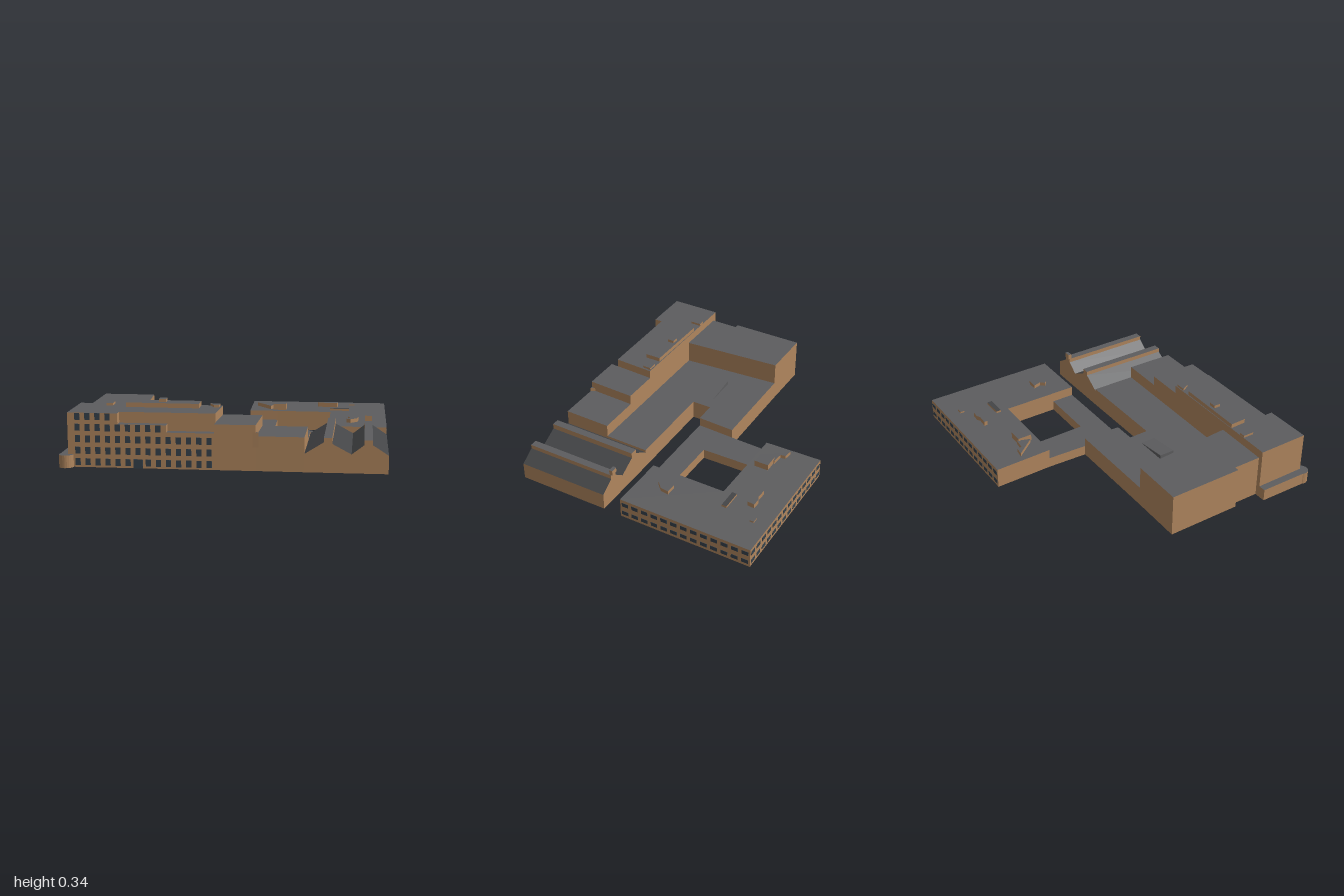
import * as THREE from 'three';

const mat = (color) => new THREE.MeshStandardMaterial({ color, side: THREE.DoubleSide, flatShading: true });
const brick = mat(0xb0865e);
const slate = mat(0x5d5d5f);
const darkSlate = mat(0x444547);
const glass = mat(0x36424c);

// Surface made of quads, each given as four corners
function quads(list) {
  const pos = [];
  for (const [a, b, c, d] of list) pos.push(...a, ...b, ...c, ...a, ...c, ...d);
  const g = new THREE.BufferGeometry();
  g.setAttribute('position', new THREE.Float32BufferAttribute(pos, 3));
  g.computeVertexNormals();
  return g;
}

// Walls and flat roof over a plan. Each point is [x, z, foot of the wall to the next point]
function block(name, height, points, { foot = 0, roof = slate } = {}) {
  const group = new THREE.Group();
  group.name = name;
  const walls = [];
  points.forEach(([x, z, y = foot], i) => {
    const [x2, z2] = points[(i + 1) % points.length];
    if (y < height) walls.push([[x, y, z], [x2, y, z2], [x2, height, z2], [x, height, z]]);
  });
  const wallMesh = new THREE.Mesh(quads(walls), brick);
  wallMesh.name = name + 'Walls';
  const shape = new THREE.Shape(points.map(([x, z]) => new THREE.Vector2(x, -z)));
  const top = new THREE.Mesh(new THREE.ShapeGeometry(shape).rotateX(-Math.PI / 2).translate(0, height, 0), roof);
  top.name = name + 'Roof';
  group.add(wallMesh, top);
  return group;
}

// Row of windows between two plan points: the first `count` of n columns
function windowRow(a, b, n, y, w, h, count = n, skip = -1) {
  const group = new THREE.Group();
  group.name = 'windowRow';
  const angle = -Math.atan2(b[1] - a[1], b[0] - a[0]);
  const geo = new THREE.BoxGeometry(w, h, 0.004);
  for (let i = 0; i < count; i++) {
    if (i === skip) continue;
    const t = (i + 0.5) / n;
    const m = new THREE.Mesh(geo, glass);
    m.name = 'window';
    m.position.set(a[0] + (b[0] - a[0]) * t, y, a[1] + (b[1] - a[1]) * t);
    m.rotation.y = angle;
    group.add(m);
  }
  return group;
}

// Plan rectangle aligned with the building
const TILT = 0.336;
function rect(cx, cz, w, d) {
  const c = Math.cos(TILT), s = Math.sin(TILT);
  return [[-w, -d], [w, -d], [w, d], [-w, d]].map(([u, v]) =>
    [cx + (u * c + v * s) / 2, cz + (-u * s + v * c) / 2]);
}

// Hall with two raised ridges, swept from the back end to the front end
function ridgedHall() {
  const group = new THREE.Group();
  group.name = 'ridgedHall';
  const profile = [[0, 0.1], [0.23, 0.165], [0.23, 0.19], [0.33, 0.19], [0.33, 0.158], [0.56, 0.103],
    [0.71, 0.155], [0.71, 0.18], [0.81, 0.18], [0.81, 0.155], [1, 0.1]];
  const back = ([t, y]) => [0.365 + 0.415 * t, y, 0.01 - 0.143 * t];
  const front = ([t, y]) => [0.54 + 0.422 * t, y, 0.534 - 0.147 * t];
  const slopes = [], ridges = [], walls = [];
  for (let i = 0; i < profile.length - 1; i++) {
    const p = profile[i], q = profile[i + 1];
    const list = p[0] === q[0] ? walls : p[1] === q[1] ? ridges : slopes;
    list.push([front(p), front(q), back(q), back(p)]);
    if (p[0] === q[0]) continue;
    for (const end of [front, back]) walls.push([end([p[0], 0]), end([q[0], 0]), end(q), end(p)]);
  }
  walls.push([front([1, 0]), back([1, 0]), back([1, 0.1]), front([1, 0.1])]);
  for (const [name, list, material] of [['hallSlopes', slopes, darkSlate], ['hallRidges', ridges, slate], ['hallWalls', walls, brick]]) {
    const mesh = new THREE.Mesh(quads(list), material);
    mesh.name = name;
    group.add(mesh);
  }
  return group;
}

export function createModel() {
  const model = new THREE.Group();
  model.name = 'buildingComplex';

  // Tall front wing with its stepped facade
  model.add(block('frontWing', 0.3, [[-0.77, 0.675, 0.07], [-0.67, 0.957], [-0.41, 0.866, 0.24], [-0.425, 0.822, 0.24],
    [-0.175, 0.734, 0.2], [0.07, 0.648, 0.25], [0, 0.4157, 0.115], [-0.44, 0.565, 0.25], [-0.745, 0.667]]));
  model.add(block('upperTerrace', 0.24, [[-0.425, 0.822, 1], [-0.41, 0.866], [-0.16, 0.779, 0.2], [-0.175, 0.734, 1]]));
  model.add(block('lowerTerrace', 0.2, [[-0.175, 0.734, 1], [-0.16, 0.779], [0.085, 0.693, 1], [0.07, 0.648, 1]]));
  model.add(block('sideAnnex', 0.07, [[-0.81, 0.69], [-0.77, 0.675], [-0.67, 0.957], [-0.715, 0.968]]));
  const ring = Array.from({ length: 20 }, (_, i) => {
    const a = i * Math.PI / 10;
    return [-0.68 + 0.04 * Math.cos(a), 0.96 + 0.04 * Math.sin(a)];
  });
  model.add(block('roundCorner', 0.07, ring));

  // Lower blocks continuing the front
  model.add(block('middleFrontBlock', 0.25, [[0, 0.4157, 1], [0.07, 0.648, 0.2], [0.085, 0.693], [0.295, 0.619, 0.19], [0.21, 0.3444, 0.115]]));
  model.add(block('lowFrontBlock', 0.19, [[0.21, 0.3444, 1], [0.295, 0.619], [0.54, 0.534, 0.1], [0.45, 0.263, 0.115]]));
  model.add(block('cornerBay', 0.21, [[0.255, 0.632], [0.28, 0.59], [0.31, 0.615]], { foot: 0.13 }));
  model.add(ridgedHall());
  model.add(block('ridgeEndParapet', 0.21, rect(0.68, -0.095, 0.04, 0.02), { foot: 0.18 }));

  // Left block and low central roof
  model.add(block('leftBlock', 0.25, [[-0.97, 0.11], [-0.825, 0.52], [-0.8, 0.51], [-0.745, 0.667, 1],
    [-0.44, 0.565, 0.115], [-0.68, 0.012]]));
  model.add(block('centralRoof', 0.115, [[-0.68, 0.012], [-0.145, -0.175, 0.06], [-0.08, 0.042], [-0.2, 0.085],
    [-0.16, 0.195], [0.365, 0.01, 0.1], [0.45, 0.263, 1], [-0.44, 0.565, 1]]));

  // Rear wing, closed round its courtyard by a lower link
  model.add(block('rearWing', 0.118, [[-0.335, -0.72], [0.48, -1], [0.745, -0.24], [0.42, -0.13, 0.06],
    [0.375, -0.26], [0.27, -0.56], [-0.05, -0.455, 0.06], [-0.215, -0.4]]));
  model.add(block('rearLink', 0.06, [[-0.215, -0.4, 1], [-0.05, -0.455], [0.06, -0.155], [0.375, -0.26, 1],
    [0.42, -0.13], [-0.08, 0.042, 1], [-0.145, -0.175]]));

  // Facade windows and door
  const fa = [-0.645, 0.948], fb = [0.085, 0.693];
  [[0.03, 14, 6], [0.093, 14], [0.157, 14], [0.22, 9], [0.28, 4]].forEach(([y, count, skip]) =>
    model.add(windowRow(fa, fb, 14, y, 0.028, 0.038, count, skip)));
  const door = new THREE.Mesh(new THREE.BoxGeometry(0.05, 0.05, 0.006), glass);
  door.name = 'door';
  door.position.set(-0.306, 0.025, 0.83);
  door.rotation.y = TILT;
  model.add(door);

  // Rear wing windows
  for (const y of [0.03, 0.087]) {
    model.add(windowRow([0.48, -1], [0.745, -0.24], 13, y, 0.04, 0.024));
    model.add(windowRow([-0.335, -0.72], [0.48, -1], 14, y, 0.04, 0.024));
  }

  // Rooftop structures on the front wing
  model.add(block('penthouse', 0.325, [[-0.505, 0.59], [-0.47, 0.68], [-0.08, 0.55], [-0.113, 0.46]], { foot: 0.3 }));
  model.add(block('penthouseVent', 0.342, rect(-0.3, 0.56, 0.04, 0.04), { foot: 0.325 }));
  model.add(block('roofHatch', 0.313, rect(-0.585, 0.65, 0.035, 0.065), { foot: 0.3 }));
  model.add(block('roofHatch', 0.313, [[-0.065, 0.445], [-0.02, 0.485], [0.005, 0.475], [-0.01, 0.425]], { foot: 0.3 }));

  // Low sloped roof light on the central roof
  const [a, b, c, d] = rect(-0.345, 0.207, 0.19, 0.09);
  const up = ([x, z], y) => [x, y, z];
  const ramp = new THREE.Mesh(quads([[up(a, 0.14), up(d, 0.14), up(c, 0.116), up(b, 0.116)],
    [up(a, 0.115), up(d, 0.115), up(d, 0.14), up(a, 0.14)],
    [up(a, 0.115), up(a, 0.14), up(b, 0.116), up(b, 0.115)],
    [up(d, 0.115), up(c, 0.115), up(c, 0.116), up(d, 0.14)]]), slate);
  ramp.name = 'slopedRoofLight';
  model.add(ramp);

  // Rooftop plant on the rear wing
  const plant = [
    ['ventBox', 0.127, rect(0.31, -0.84, 0.035, 0.025)],
    ['plantRoom', 0.145, [[0.12, -0.725], [0.18, -0.742], [0.195, -0.76], [0.24, -0.772], [0.25, -0.73], [0.13, -0.705]]],
    ['plantRoom', 0.14, [[-0.24, -0.57], [-0.19, -0.58], [-0.175, -0.555], [-0.11, -0.57], [-0.11, -0.49]]],
    ['plantTower', 0.155, rect(-0.065, -0.535, 0.08, 0.085)],
    ['plantRoom', 0.14, [[0.46, -0.36], [0.52, -0.38], [0.53, -0.33], [0.505, -0.28], [0.475, -0.29], [0.49, -0.32]]],
  ];
  for (const [name, h, pts] of plant) model.add(block(name, h, pts, { foot: 0.118 }));
  model.add(block('skylight', 0.13, rect(0.3, -0.64, 0.12, 0.03), { foot: 0.118, roof: darkSlate }));
  return model;
}
